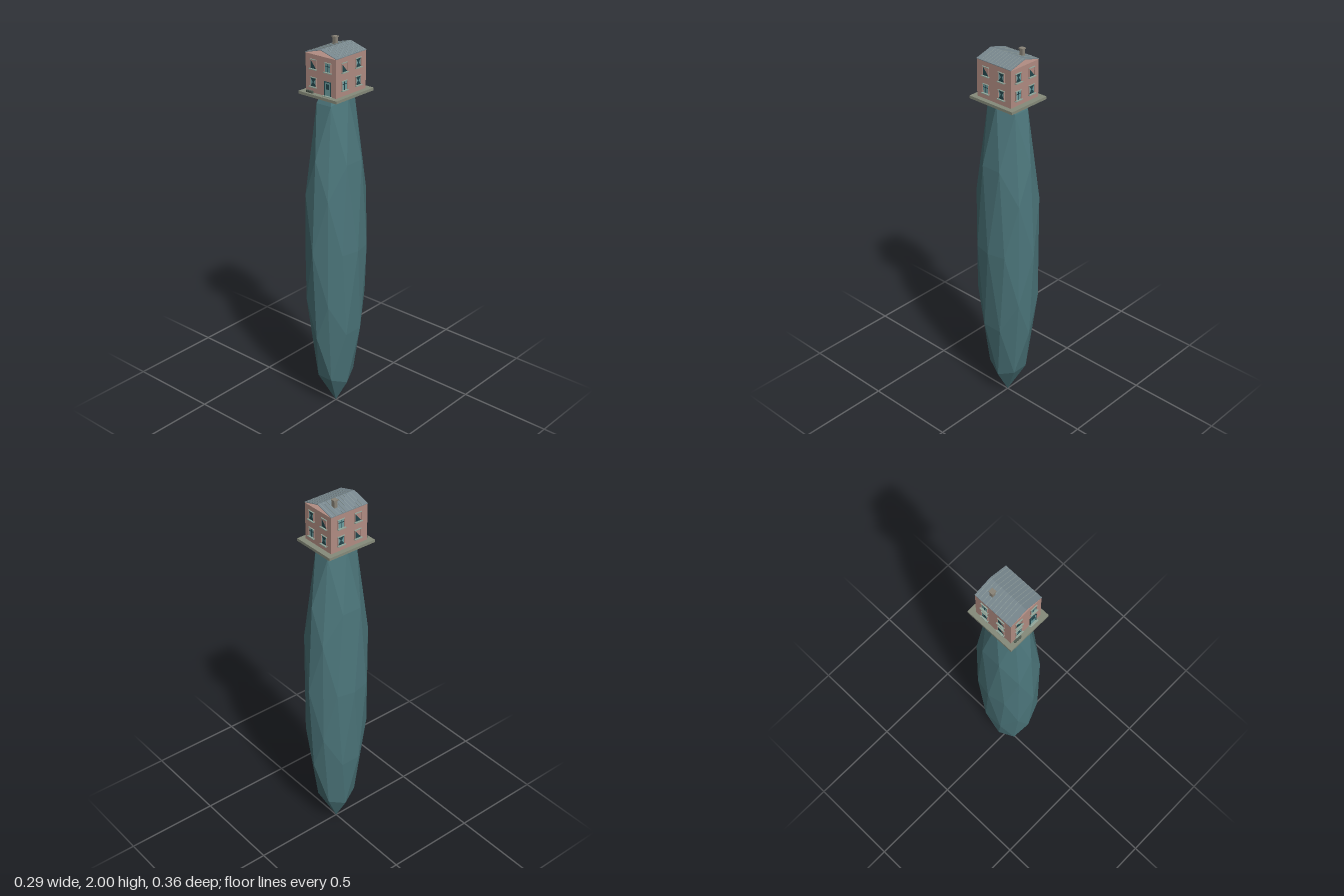
import * as THREE from 'three';

const mat = (color, extra = {}) => new THREE.MeshStandardMaterial({ color, flatShading: true, ...extra });
const rockMat = mat(0x4c767b);
const wallMat = mat(0xb28d83);
const slabMat = mat(0x868b7b);
const roofMat = mat(0x78878e, { side: THREE.DoubleSide });
const ribMat = mat(0x8d9c9a);
const glassMat = mat(0x23474d);
const paneMat = mat(0x6fa0a2);
const trimMat = mat(0x93a79b);
const chimneyMat = mat(0x8a8478);
const potMat = mat(0x4f5a50);

const HALF_X = 0.095, HALF_Z = 0.108, FLOOR = 1.757, EAVE = 1.945;

function add(parent, name, geometry, material, x = 0, y = 0, z = 0) {
  const mesh = new THREE.Mesh(geometry, material);
  mesh.name = name;
  mesh.position.set(x, y, z);
  parent.add(mesh);
  return mesh;
}
const box = (parent, name, w, h, d, material, x, y, z) =>
  add(parent, name, new THREE.BoxGeometry(w, h, d), material, x, y, z);

// Flat triangle pointing up (dir 1) or down (dir -1), or half of the opening (dir 0)
function triangle(w, h, dir) {
  const s = new THREE.Shape();
  if (dir === 0) s.setFromPoints([[-w, -h], [w, -h], [-w, h]].map(p => new THREE.Vector2(...p)));
  else s.setFromPoints([[-w, -h * dir], [w, -h * dir], [0, h * 0.15 * dir]].map(p => new THREE.Vector2(...p)));
  return new THREE.ShapeGeometry(s);
}

// Window facing +z, with its wall plane at z = 0
function makeWindow(style) {
  const g = new THREE.Group();
  g.name = 'window';
  const w = 0.038, h = 0.044;
  box(g, 'glass', w, h, 0.002, style === 'bars' ? paneMat : style === 'slash' ? wallMat : paneMat, 0, 0, 0);
  if (style === 'bars') {
    box(g, 'mullion', 0.003, h, 0.004, glassMat, 0, 0, 0.001);
    box(g, 'transom', w, 0.003, 0.004, glassMat, 0, 0.006, 0.001);
  } else if (style === 'slash') {
    add(g, 'brokenPane', triangle(w / 2, h / 2, 0), glassMat, 0, 0, 0.002);
  } else {
    add(g, 'lowerPane', triangle(w / 2, h / 2, 1), glassMat, 0, 0, 0.002);
    add(g, 'upperPane', triangle(w / 2, h / 2, -1), glassMat, 0, 0, 0.0025);
  }
  for (const s of [-1, 1]) box(g, 'jamb', 0.003, h, 0.006, wallMat, s * w / 2, 0, 0.002);
  box(g, 'lintel', w + 0.003, 0.003, 0.007, trimMat, 0, h / 2, 0.002);
  box(g, 'sill', 0.046, 0.004, 0.014, trimMat, 0, -h / 2 - 0.002, 0.004);
  return g;
}

// Gable chevron, extruded along z and centred
function chevron(halfW, lift, thick, depth) {
  const base = EAVE + 0.001 + lift, peak = 1.973 + lift;
  const s = new THREE.Shape();
  s.moveTo(-halfW, base);
  s.lineTo(0, peak);
  s.lineTo(halfW, base);
  s.lineTo(halfW, base + thick);
  s.lineTo(0, peak + thick);
  s.lineTo(-halfW, base + thick);
  return new THREE.ExtrudeGeometry(s, { depth, bevelEnabled: false }).translate(0, 0, -depth / 2);
}

export function createModel() {
  const model = new THREE.Group();
  model.name = 'houseOnRock';

  // Long faceted rock
  const rock = new THREE.IcosahedronGeometry(1, 1).scale(0.147, 0.94, 0.178);
  add(model, 'rock', rock, rockMat, 0, 0.94, 0);

  // Ground slab and house walls
  box(model, 'groundSlab', 0.24, 0.014, 0.273, slabMat, 0, 1.75, -0.0015);
  box(model, 'walls', HALF_X * 2, EAVE - FLOOR, HALF_Z * 2, wallMat, 0, (EAVE + FLOOR) / 2, 0);

  // Open-gabled roof with raised ribs
  const roof = new THREE.Group();
  roof.name = 'roof';
  model.add(roof);
  add(roof, 'roofSheet', chevron(0.097, 0, 0.003, 0.217), roofMat);
  for (let i = 0; i < 10; i++)
    add(roof, 'roofRib', chevron(0.097, 0.002, 0.002, 0.002), ribMat, 0, 0, -0.098 + i * 0.0195);

  // Chimney
  box(model, 'chimney', 0.019, 0.05, 0.019, chimneyMat, -0.047, 1.97, -0.048);
  box(model, 'chimneyCap', 0.024, 0.006, 0.025, chimneyMat, -0.047, 1.997, -0.048);

  // Windows: each wall lists upper left, upper right, lower left, lower right
  const sides = [
    { turn: 0, out: HALF_Z, styles: ['slash', 'bars', 'hourglass', null] },
    { turn: Math.PI / 2, out: HALF_X, styles: ['slash', 'hourglass', 'bars', 'hourglass'] },
    { turn: Math.PI, out: HALF_Z, styles: ['hourglass', 'slash', 'bars', 'hourglass'] },
    { turn: -Math.PI / 2, out: HALF_X, styles: ['bars', 'slash', 'hourglass', 'slash'] },
  ];
  for (const { turn, out, styles } of sides) {
    const wall = new THREE.Group();
    wall.name = 'wallOpenings';
    wall.rotation.y = turn;
    model.add(wall);
    styles.forEach((style, i) => {
      if (!style) return;
      const win = makeWindow(style);
      win.position.set((i % 2 ? 1 : -1) * (out === HALF_Z ? 0.046 : 0.05), i < 2 ? 1.898 : 1.81, out);
      wall.add(win);
    });
  }

  // Front door with frame and step
  const door = new THREE.Group();
  door.name = 'frontDoor';
  door.position.set(0.044, 0, HALF_Z);
  model.add(door);
  box(door, 'doorLeaf', 0.034, 0.07, 0.003, paneMat, 0, FLOOR + 0.035, 0.001);
  box(door, 'doorPanel', 0.02, 0.026, 0.002, glassMat, 0, FLOOR + 0.048, 0.002);
  for (const s of [-1, 1]) box(door, 'doorJamb', 0.003, 0.07, 0.006, glassMat, s * 0.0185, FLOOR + 0.035, 0.002);
  box(door, 'doorLintel', 0.04, 0.003, 0.006, glassMat, 0, FLOOR + 0.071, 0.002);
  box(door, 'doorStep', 0.05, 0.004, 0.013, trimMat, 0, FLOOR + 0.002, 0.0065);

  // Row of low pots beside the door
  for (let i = 0; i < 3; i++) {
    const pot = new THREE.CylinderGeometry(0.01, 0.009, 0.01, 10).scale(1, 1, 0.65);
    add(model, 'pot', pot, potMat, -0.075 + i * 0.0135, FLOOR + 0.005, 0.118);
  }
  return model;
}
